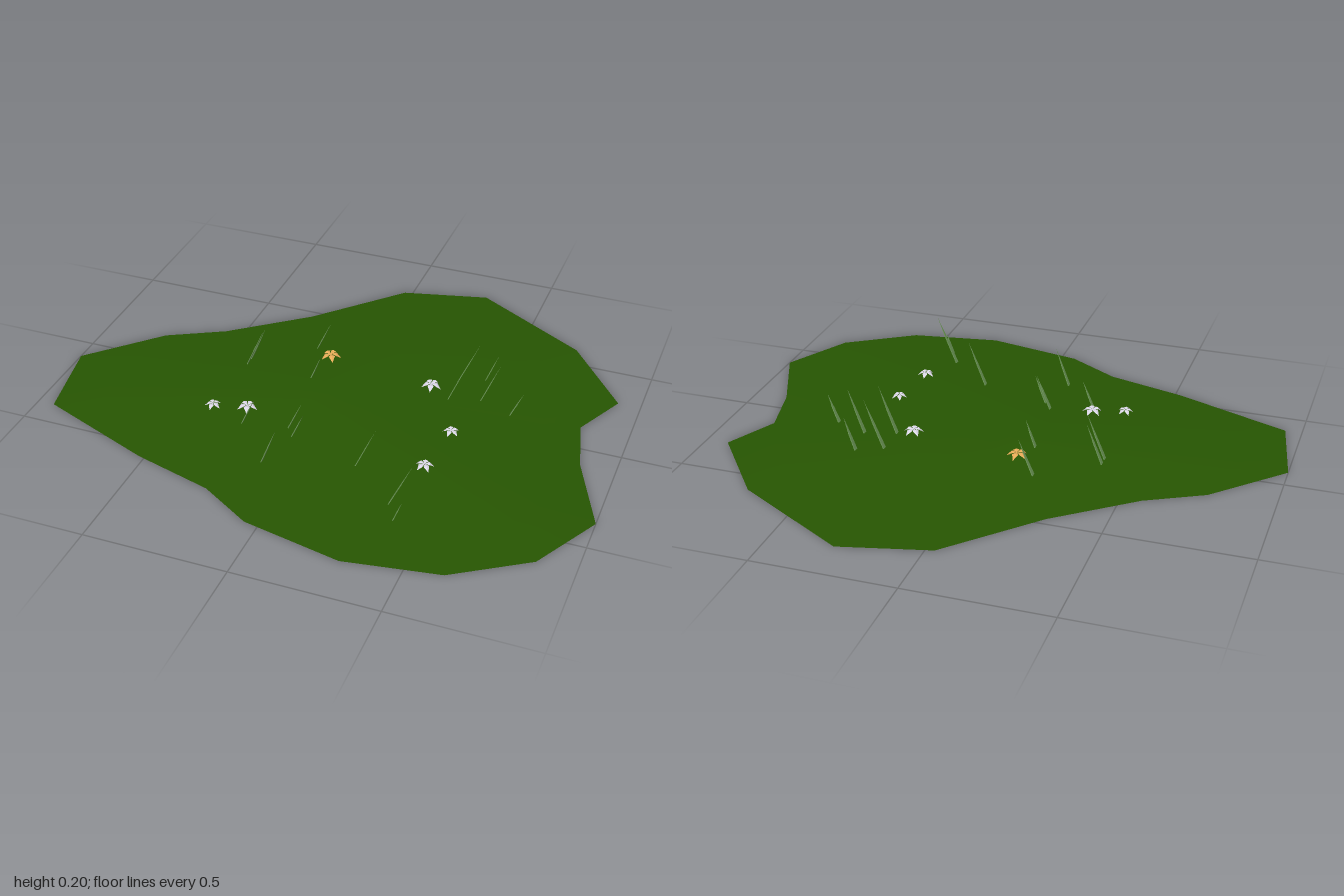
import * as THREE from 'three';

const mat = (name, color, flatShading = false) => {
  const m = new THREE.MeshStandardMaterial({ color, flatShading });
  m.name = name;
  return m;
};

function geometryFrom(positions, index) {
  const g = new THREE.BufferGeometry();
  g.setAttribute('position', new THREE.Float32BufferAttribute(positions, 3));
  g.setIndex(index);
  g.computeVertexNormals();
  return g;
}

// Patch outline as x, z pairs
const OUTLINE = [
  [0.28, -0.84], [0.7, -0.595], [0.92, -0.31], [0.83, -0.12], [0.88, 0.09], [1, 0.375],
  [0.87, 0.62], [0.625, 0.78], [0.3, 0.832], [-0.05, 0.76], [-0.235, 0.647], [-0.52, 0.567],
  [-0.94, 0.4], [-1, 0.09], [-0.77, -0.148], [-0.57, -0.255], [-0.305, -0.468], [-0.03, -0.763],
];
const groundHeight = (s) => 0.03 * (1 - Math.pow(s, 1.5));

// Low dome: the outline scaled into rings around a centre point
function moundTop() {
  const rings = 6, n = OUTLINE.length;
  const pos = [0, groundHeight(0), 0], idx = [];
  for (let r = 1; r <= rings; r++) {
    const s = r / rings;
    for (const [x, z] of OUTLINE) pos.push(x * s, groundHeight(s), z * s);
  }
  for (let i = 0; i < n; i++) {
    const j = (i + 1) % n;
    idx.push(0, 1 + j, 1 + i);
    for (let r = 0; r < rings - 1; r++) {
      const a = 1 + r * n, b = a + n;
      idx.push(a + i, a + j, b + i, a + j, b + j, b + i);
    }
  }
  return geometryFrom(pos, idx);
}

function moundBase() {
  const n = OUTLINE.length, pos = [0, 0, 0], idx = [];
  OUTLINE.forEach(([x, z], i) => {
    pos.push(x, 0, z);
    idx.push(0, 1 + i, 1 + ((i + 1) % n));
  });
  return geometryFrom(pos, idx);
}

// Thin solid blade, broad along z, leaning towards +x, its tip over the +z edge
function bladeGeometry(lean, height) {
  const w = 0.0095, t = 0.0016, pos = [], idx = [];
  const ring = (f, z0, z1) => {
    for (const [sx, z] of [[-1, z0], [-1, z1], [1, z1], [1, z0]]) {
      pos.push(lean * f + sx * t, height * f, z);
    }
  };
  ring(0, -w, w);
  ring(0.5, -w * 0.35, w * 0.95);
  pos.push(lean, height, w * 0.85);
  for (let i = 0; i < 4; i++) {
    const j = (i + 1) % 4;
    idx.push(i, j, 4 + i, j, 4 + j, 4 + i, 4 + i, 4 + j, 8);
  }
  return geometryFrom(pos, idx);
}

// Five drooping petals creased along the middle, with an upper and a lower skin
function petalsGeometry() {
  const pos = [], idx = [];
  for (let k = 0; k < 10; k++) {
    const under = k >= 5, a = (k / 5) * Math.PI * 2, o = k * 5;
    const put = (r, y, t) => pos.push(
      r * Math.cos(a) - t * Math.sin(a), under ? y - 0.08 : y, r * Math.sin(a) + t * Math.cos(a));
    put(0, 0, 0);
    put(0.55, 0.1, 0);
    put(0.5, 0, 0.3);
    put(0.5, 0, -0.3);
    put(1, -0.4, 0);
    const faces = [[0, 2, 1], [0, 1, 3], [1, 2, 4], [1, 4, 3]];
    for (const [p, q, r] of faces) idx.push(o + p, o + (under ? r : q), o + (under ? q : r));
  }
  return geometryFrom(pos, idx);
}

// Base x, z, lean along x, blade height
const BLADES = [
  [-0.19, -0.24, 0.055, 0.12], [-0.39, -0.09, 0.06, 0.14], [-0.39, -0.052, 0.07, 0.16],
  [-0.14, -0.048, 0.04, 0.1], [0.36, -0.216, 0.075, 0.17], [0.45, -0.258, 0.045, 0.115],
  [0.36, -0.095, 0.07, 0.17], [0.47, -0.128, 0.065, 0.16], [0.59, -0.078, 0.045, 0.1],
  [-0.1, 0.262, 0.055, 0.12], [-0.26, 0.293, 0.05, 0.11], [-0.07, 0.306, 0.045, 0.1],
  [0.19, 0.382, 0.07, 0.16], [-0.11, 0.475, 0.055, 0.14], [0.36, 0.535, 0.08, 0.175],
  [0.4, 0.607, 0.03, 0.08],
];

// x, z, petal radius, golden or pale
const FLOWERS = [
  [-0.11, -0.165, 0.038, true], [0.29, -0.113, 0.037], [0.44, 0.13, 0.03],
  [0.415, 0.342, 0.033], [-0.265, 0.238, 0.037], [-0.38, 0.27, 0.03],
];

export function createModel() {
  const group = new THREE.Group();
  group.name = 'flowerPatch';
  const grass = mat('grassGreen', 0x275602);
  const bladeGreen = mat('bladeGreen', 0x6c9656, true);
  const pale = mat('palePetal', 0xdedaea, true);
  const golden = mat('goldenPetal', 0xf0b25c, true);

  const add = (parent, name, geometry, material) => {
    const m = new THREE.Mesh(geometry, material);
    m.name = name;
    parent.add(m);
    return m;
  };

  add(group, 'moundTop', moundTop(), grass);
  add(group, 'moundBase', moundBase(), grass);

  // Grass blades
  const blades = new THREE.Group();
  blades.name = 'grassBlades';
  for (const [x, z, lean, height] of BLADES) {
    add(blades, 'blade', bladeGeometry(lean, height), bladeGreen).position.set(x, 0.024, z);
  }
  group.add(blades);

  // Flower heads
  const petals = petalsGeometry();
  const flowers = new THREE.Group();
  flowers.name = 'flowers';
  FLOWERS.forEach(([x, z, r, isGolden], i) => {
    const f = add(flowers, 'flower', petals, isGolden ? golden : pale);
    f.position.set(x, 0.06, z);
    f.rotation.y = 0.2 + i * 0.9;
    f.scale.setScalar(r);
  });
  group.add(flowers);
  return group;
}
